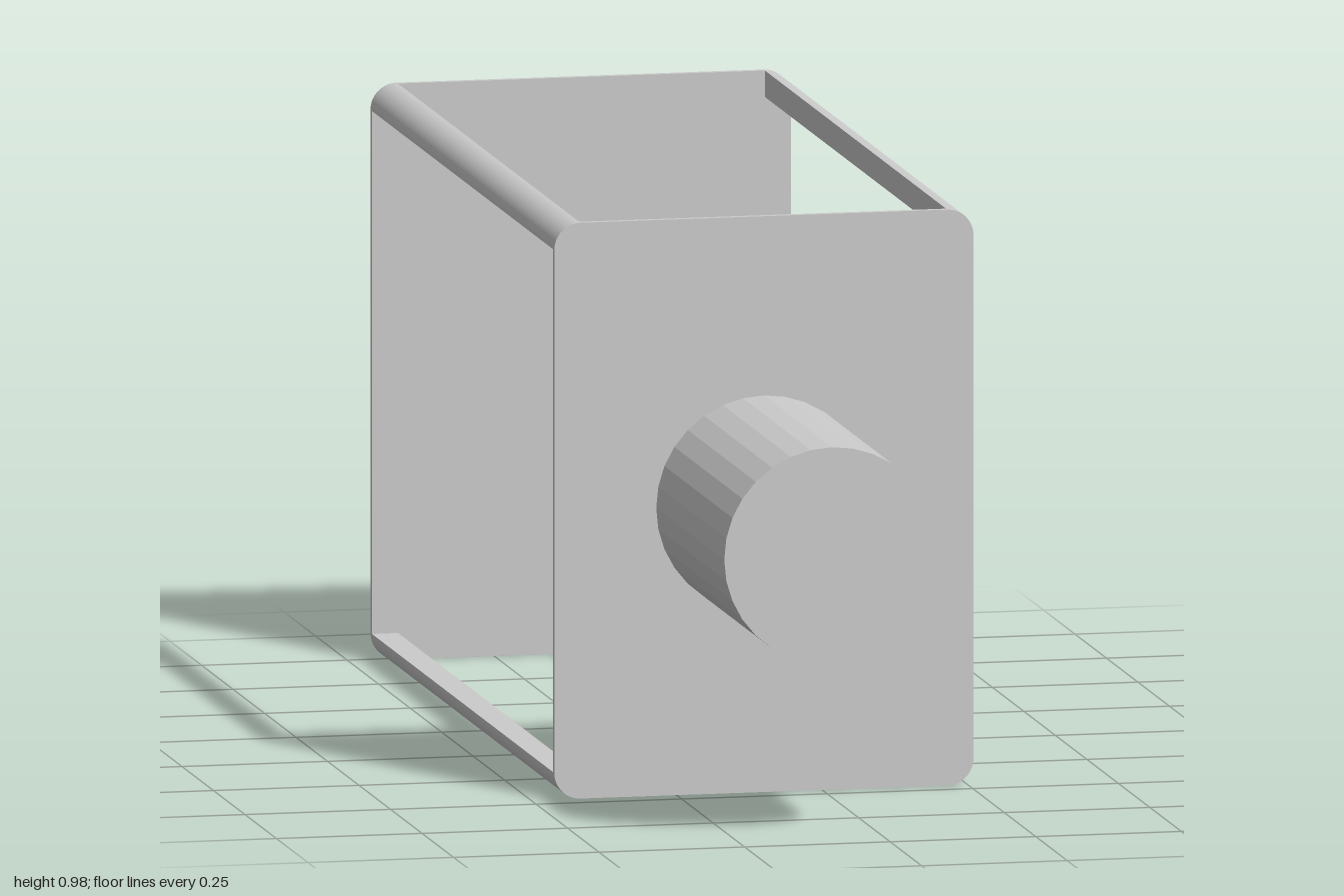
import * as THREE from 'three';

const material = new THREE.MeshStandardMaterial({ color: 0xcccccc, flatShading: true });

// Body frame: centre, half sizes, corner radius, plate thickness
const CX = -0.1, CY = 0.49, HW = 0.36, HH = 0.49, R = 0.045, T = 0.011;
const BACK = -1, FRONT = 0.46;

function add(parent, name, geometry, x, y, z) {
  const mesh = new THREE.Mesh(geometry, material);
  mesh.name = name;
  mesh.position.set(x, y, z);
  parent.add(mesh);
  return mesh;
}

function extrude(shape, depth) {
  return new THREE.ExtrudeGeometry(shape, { depth, bevelEnabled: false, curveSegments: 8 });
}

// Rectangle with rounded corners, centred on the origin
function plateShape() {
  const s = new THREE.Shape();
  s.absarc(HW - R, HH - R, R, 0, Math.PI / 2);
  s.absarc(R - HW, HH - R, R, Math.PI / 2, Math.PI);
  s.absarc(R - HW, R - HH, R, Math.PI, Math.PI * 1.5);
  s.absarc(HW - R, R - HH, R, Math.PI * 1.5, Math.PI * 2);
  s.closePath();
  return s;
}

// Solid quarter round
function railShape() {
  const s = new THREE.Shape();
  s.moveTo(0, 0);
  s.lineTo(R, 0);
  s.absarc(0, 0, R, 0, Math.PI / 2);
  s.closePath();
  return s;
}

export function createModel() {
  const model = new THREE.Group();
  model.name = 'lensBoxWithArrow';

  // End plates
  const plate = extrude(plateShape(), T);
  add(model, 'frontPlate', plate, CX, CY, FRONT - T);
  add(model, 'backPlate', plate, CX, CY, BACK);

  // Four corner rails, curved side outwards
  const rail = extrude(railShape(), FRONT - BACK - 2 * T);
  const corners = [[1, 1, 'topLeftRail'], [-1, 1, 'topRightRail'],
    [-1, -1, 'bottomRightRail'], [1, -1, 'bottomLeftRail']];
  corners.forEach(([sx, sy, name], i) => {
    add(model, name, rail, CX + sx * (HW - R), CY + sy * (HH - R), BACK + T)
      .rotation.z = i * Math.PI / 2;
  });

  // Lens barrel
  add(model, 'barrel', new THREE.CylinderGeometry(0.185, 0.185, 1 - FRONT, 32), CX, CY, (1 + FRONT) / 2)
    .rotation.x = Math.PI / 2;

  // Arrow pointing to the model's left
  const arrow = new THREE.Group();
  arrow.name = 'arrow';
  arrow.position.set(0.27, CY, -0.872);
  arrow.rotation.z = -Math.PI / 2;
  add(arrow, 'arrowShaft', new THREE.CylinderGeometry(0.014, 0.014, 0.095, 16), 0, 0.0475, 0);
  add(arrow, 'arrowHead', new THREE.ConeGeometry(0.046, 0.092, 24), 0, 0.141, 0);
  model.add(arrow);

  return model;
}
